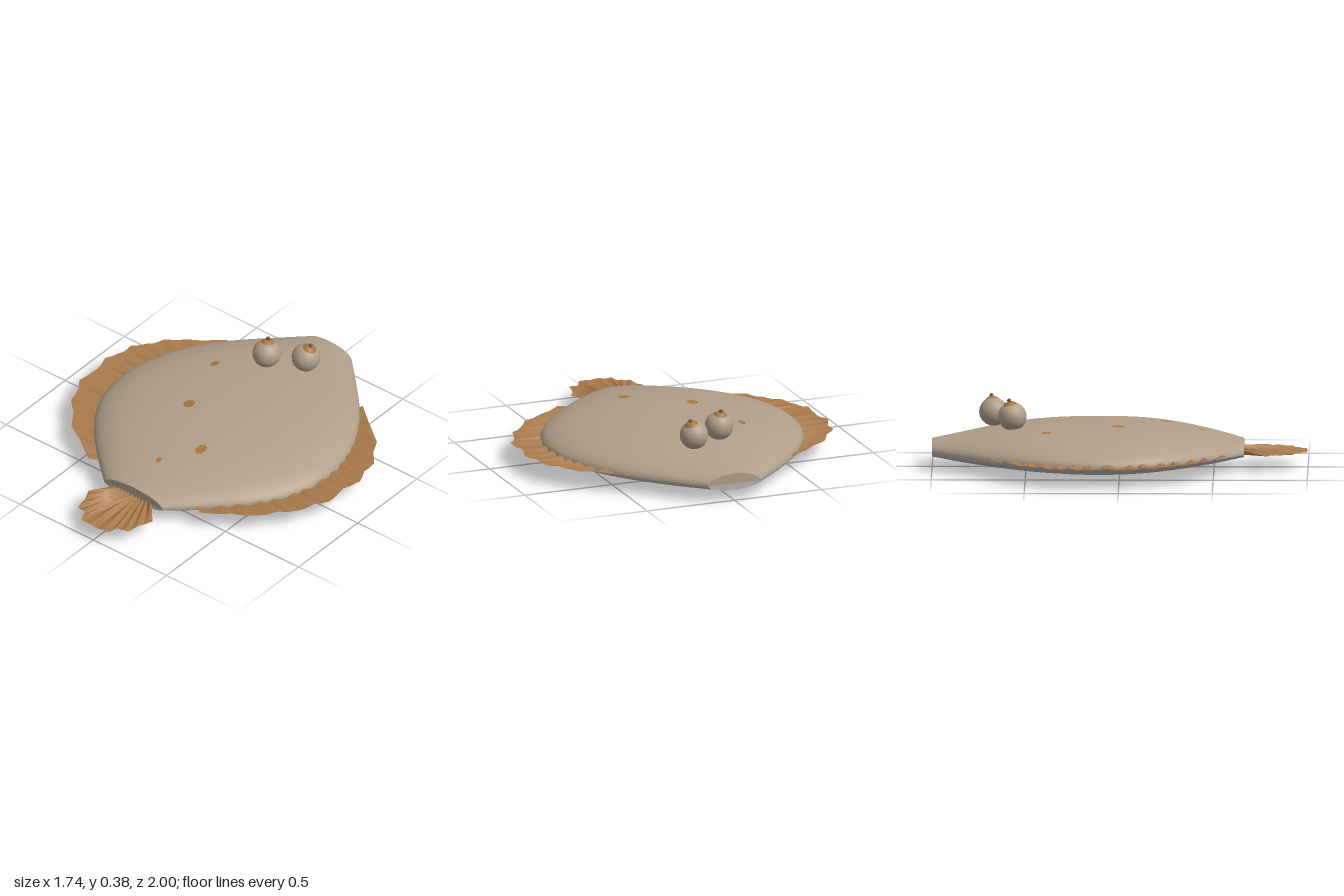
import * as THREE from 'three';

const mat = (name, color, side = THREE.FrontSide, flatShading = false) => {
  const m = new THREE.MeshStandardMaterial({ color, side, flatShading });
  m.name = name;
  return m;
};

// Surface from a rule f(u, v) -> [x, y, z]; the front side follows du x dv
function surface(nu, nv, f) {
  const pos = [], idx = [];
  for (let i = 0; i <= nu; i++)
    for (let j = 0; j <= nv; j++) pos.push(...f(i / nu, j / nv));
  for (let i = 0; i < nu; i++)
    for (let j = 0; j < nv; j++) {
      const a = i * (nv + 1) + j, b = a + nv + 1;
      idx.push(a, b, b + 1, a, b + 1, a + 1);
    }
  const g = new THREE.BufferGeometry();
  g.setAttribute('position', new THREE.Float32BufferAttribute(pos, 3));
  g.setIndex(idx);
  g.computeVertexNormals();
  return g;
}

// Body stations from nose to tail: half width, top height, bottom height
const Z0 = -1, Z1 = 0.66, MID = 0.095;
const STATIONS = [
  [0.15, 0.15, 0.06], [0.32, 0.178, 0.04], [0.475, 0.206, 0.026], [0.59, 0.228, 0.014],
  [0.665, 0.238, 0.006], [0.70, 0.241, 0.001], [0.695, 0.241, 0.002], [0.645, 0.235, 0.01],
  [0.54, 0.217, 0.024], [0.385, 0.189, 0.042], [0.20, 0.15, 0.065],
];
const profile = new THREE.CatmullRomCurve3(
  STATIONS.map((s) => new THREE.Vector3(...s)), false, 'catmullrom', 0.5);
const station = (z) =>
  profile.getPoint(THREE.MathUtils.clamp((z - Z0) / (Z1 - Z0), 0, 1));

// Point on the body section at z; side is 1 for back, -1 for belly, s scales it inwards
function section(z, v, side, s = 1) {
  const p = station(z), a = Math.PI * v;
  const h = side > 0 ? p.y - MID : MID - p.z;
  return [-side * p.x * Math.cos(a) * s, MID + side * h * Math.sin(a) * s, z];
}
const backHeight = (x, z) => {
  const p = station(z);
  return MID + (p.y - MID) * Math.sqrt(Math.max(0, 1 - (x / p.x) ** 2));
};

// Scalloped outline of the left side fin, front of head to tail: x, z
const FIN = [
  [0.46, -0.71], [0.60, -0.60], [0.72, -0.51], [0.76, -0.43], [0.83, -0.35], [0.83, -0.27],
  [0.87, -0.18], [0.84, -0.08], [0.855, 0.06], [0.81, 0.12], [0.775, 0.23], [0.70, 0.30],
  [0.635, 0.40], [0.52, 0.47], [0.38, 0.57],
];
// Half of the tail fan outline, from the outer corner to the middle
const TAIL = [
  [0.12, 0.66], [0.22, 0.77], [0.19, 0.83], [0.17, 0.92], [0.115, 0.93], [0.09, 0.99], [0, 1.0],
];

const along = (pts, u) => {
  const t = u * (pts.length - 1), i = Math.min(Math.floor(t), pts.length - 2), k = t - i;
  return [0, 1].map((c) => pts[i][c] * (1 - k) + pts[i + 1][c] * k);
};

export function createModel() {
  const root = new THREE.Group();
  root.name = 'flatfish';
  const skin = mat('sand skin', 0xb09e88);
  const belly = mat('pale belly', 0xb4b3ae);
  const fin = mat('brown fin', 0xa87a4c, THREE.DoubleSide, true);
  const spotMat = mat('brown spot', 0xa8743f);
  const pupilMat = mat('dark pupil', 0x6a5a48);

  const add = (name, geometry, material, parent = root) => {
    const m = new THREE.Mesh(geometry, material);
    m.name = name;
    parent.add(m);
    return m;
  };

  // Upper and lower body shells with blunt ends
  for (const [side, name, m] of [[1, 'back', skin], [-1, 'belly', belly]]) {
    add(name, surface(40, 36, (u, v) => section(Z0 + (Z1 - Z0) * u, v, side)), m);
    add(name + 'NoseEnd', surface(1, 36, (u, v) => section(Z0, v, side, u)), m);
    add(name + 'TailEnd', surface(1, 36, (u, v) => section(Z1, v, side, 1 - u)), m);
  }

  // Rippled side fins
  for (const s of [1, -1]) {
    const n = (FIN.length - 1) * 4;
    add(s > 0 ? 'leftFin' : 'rightFin', surface(n, 3, (u, v) => {
      const [x, z] = along(FIN, u);
      const zi = z * 0.94, xi = station(zi).x * 0.92;
      const ripple = Math.sin(u * n * 1.6) * 0.012 * (1 - 0.75 * v);
      return [s * (xi + (x - xi) * v), 0.098 + 0.01 * v + ripple, zi + (z - zi) * v];
    }), fin);
  }

  // Pleated tail fan
  const fan = [...TAIL, ...TAIL.slice(0, -1).reverse().map(([x, z]) => [-x, z])];
  add('tailFin', surface(48, 4, (u, v) => {
    const [x, z] = along(fan, u);
    const xi = 0.1 * (1 - 2 * u), zi = 0.62;
    const ripple = Math.sin(u * 48 * 1.57) * 0.014 * (1 - 0.8 * v);
    return [xi + (x - xi) * v, 0.094 - 0.004 * v + ripple, zi + (z - zi) * v];
  }), fin);

  // Eyes: ball, brown cap and a tiny bead, each tilted its own way
  for (const [name, x, z, tx, tz] of [
    ['rightEye', -0.085, -0.572, -0.05, -0.2], ['leftEye', 0.1, -0.675, 0.3, -0.12],
  ]) {
    const eye = new THREE.Group();
    eye.name = name;
    eye.position.set(x, 0.282, z);
    eye.quaternion.setFromUnitVectors(
      new THREE.Vector3(0, 1, 0), new THREE.Vector3(tx, 1, tz).normalize());
    root.add(eye);
    add('eyeball', new THREE.SphereGeometry(0.076, 28, 20), skin, eye);
    add('iris', new THREE.SphereGeometry(0.048, 20, 14), spotMat, eye).position.y = 0.036;
    add('pupil', new THREE.SphereGeometry(0.011, 12, 8), pupilMat, eye).position.y = 0.088;
  }

  // Spots laid on the back
  for (const [x, z, rx, rz] of [
    [-0.29, -0.39, 0.019, 0.029], [-0.16, -0.01, 0.029, 0.035],
    [0.13, 0.25, 0.027, 0.037], [-0.005, 0.44, 0.014, 0.019],
  ]) {
    const g = new THREE.CircleGeometry(1, 20);
    const p = g.attributes.position;
    for (let i = 0; i < p.count; i++) {
      const px = x + p.getX(i) * rx, pz = z - p.getY(i) * rz;
      p.setXYZ(i, px, backHeight(px, pz) + 0.003, pz);
    }
    g.computeVertexNormals();
    add('spot', g, spotMat);
  }
  return root;
}
